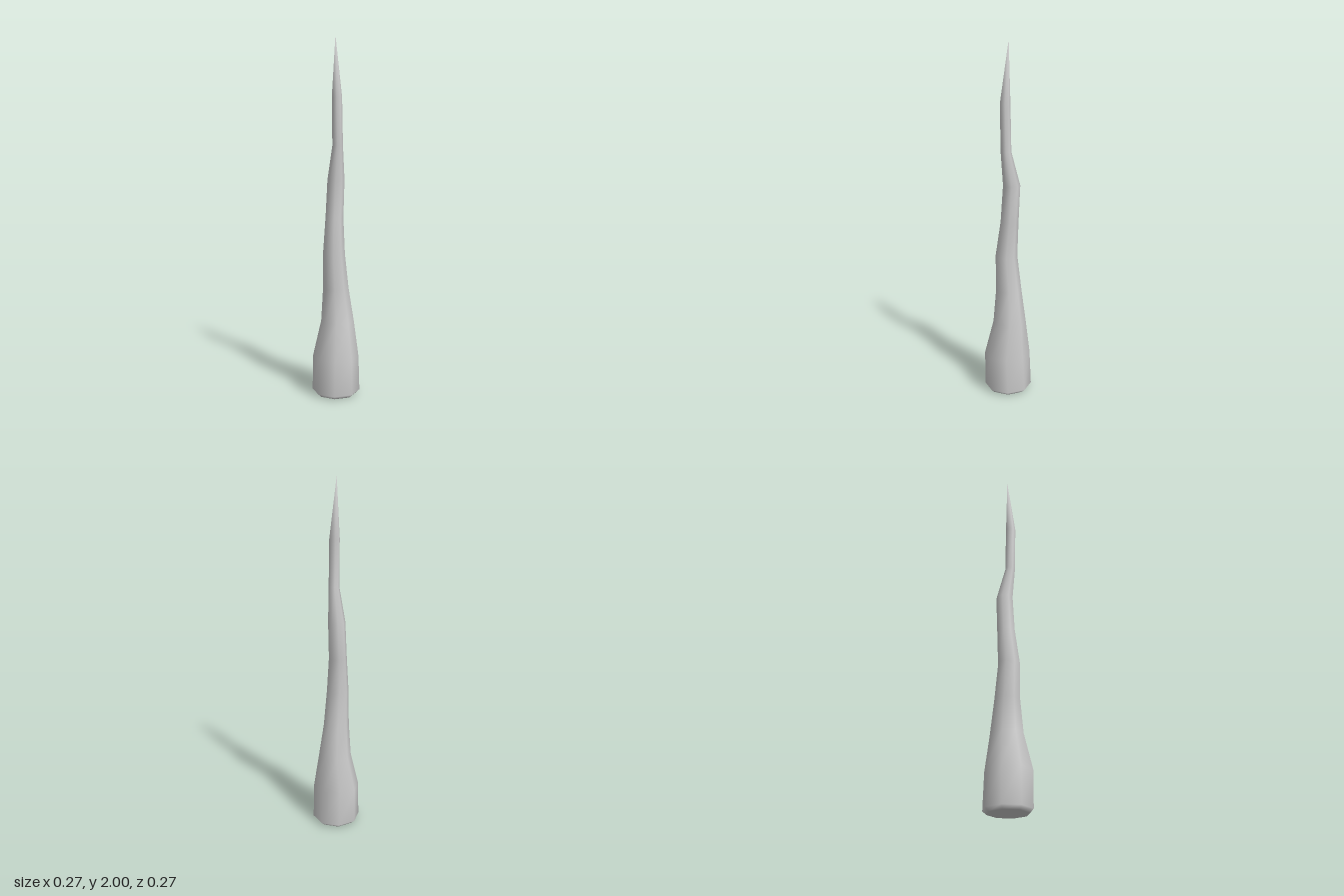
import * as THREE from 'three';

const SIDES = 8;

// Cross-sections from base to top: height, xMin, xMax, zMin, zMax
const RINGS = [
  [0.0, -0.112, 0.112, -0.112, 0.112],
  [0.02, -0.135, 0.133, -0.134, 0.134],
  [0.22, -0.132, 0.135, -0.121, 0.128],
  [0.42, -0.093, 0.09, -0.105, 0.081],
  [0.61, -0.075, 0.066, -0.075, 0.071],
  [0.81, -0.064, 0.06, -0.046, 0.074],
  [1.01, -0.064, 0.038, -0.048, 0.049],
  [1.22, -0.063, 0.032, -0.06, 0.034],
  [1.41, -0.015, 0.043, -0.028, 0.03],
  [1.67, -0.014, 0.043, -0.021, 0.034],
];
const TIP = [-0.005, 2, 0];

// Closed, smooth skin through the rings, ending in a point
function spikeGeometry() {
  const positions = [];
  const index = [];
  for (const [y, x0, x1, z0, z1] of RINGS) {
    for (let j = 0; j < SIDES; j++) {
      const a = (j / SIDES) * Math.PI * 2;
      positions.push(
        (x0 + x1) / 2 + ((x1 - x0) / 2) * Math.sin(a),
        y,
        (z0 + z1) / 2 + ((z1 - z0) / 2) * Math.cos(a)
      );
    }
  }
  const tip = RINGS.length * SIDES;
  const bottom = tip + 1;
  positions.push(...TIP, 0, 0, 0);

  const last = RINGS.length - 1;
  for (let j = 0; j < SIDES; j++) {
    const k = (j + 1) % SIDES;
    for (let i = 0; i < last; i++) {
      const a = i * SIDES + j, b = i * SIDES + k;
      index.push(a, b, b + SIDES, a, b + SIDES, a + SIDES);
    }
    index.push(last * SIDES + j, last * SIDES + k, tip);
    index.push(bottom, k, j);
  }

  const geometry = new THREE.BufferGeometry();
  geometry.setAttribute('position', new THREE.Float32BufferAttribute(positions, 3));
  geometry.setIndex(index);
  geometry.computeVertexNormals();
  return geometry;
}

export function createModel() {
  const group = new THREE.Group();
  group.name = 'crookedSpike';
  const spike = new THREE.Mesh(
    spikeGeometry(),
    new THREE.MeshStandardMaterial({ color: 0xcccccc })
  );
  spike.name = 'spike';
  group.add(spike);
  return group;
}
